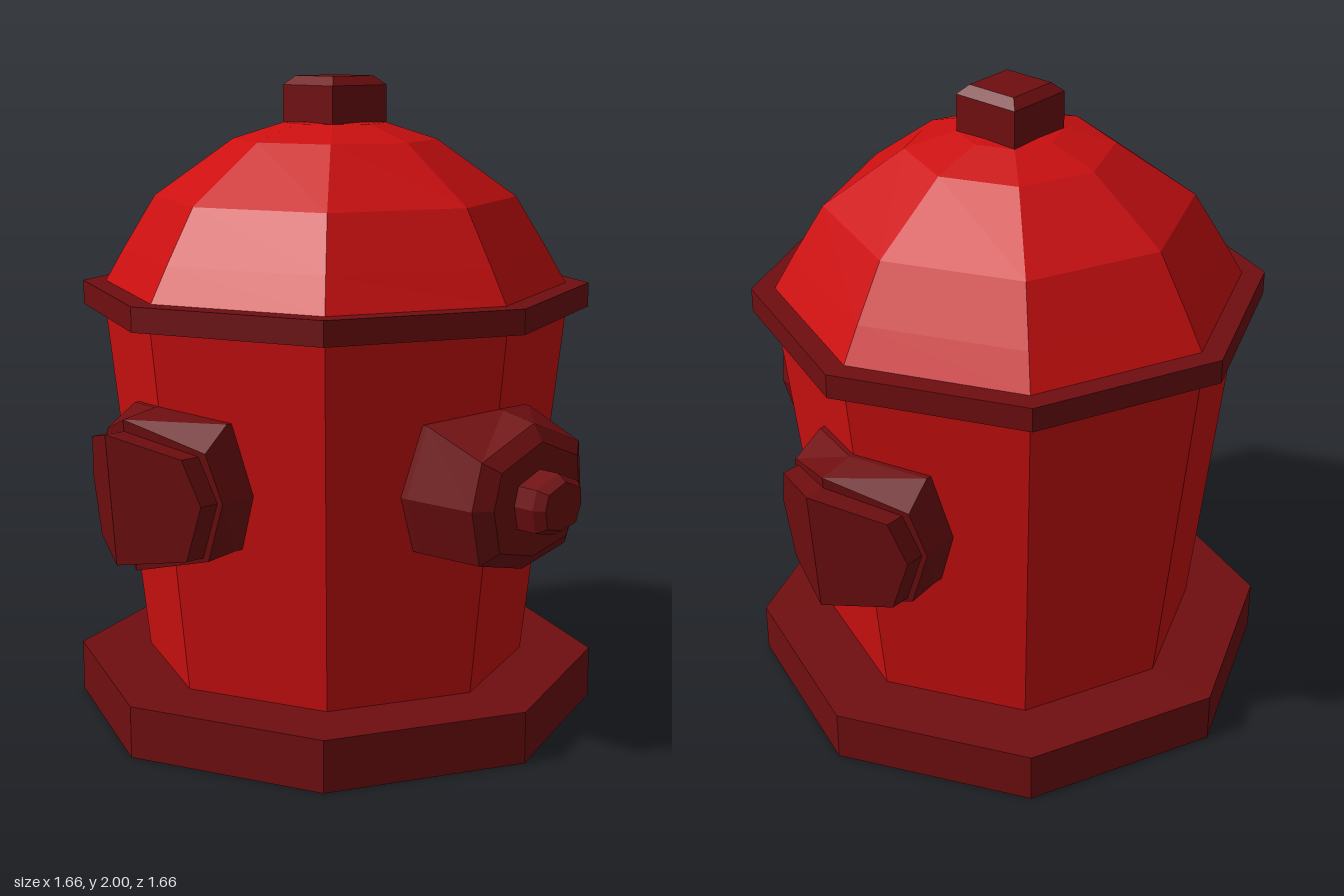
import * as THREE from 'three';

const red = new THREE.MeshStandardMaterial({ color: 0xcc0f10, flatShading: true });
red.name = 'bright red';
const dark = new THREE.MeshStandardMaterial({ color: 0x700e10, flatShading: true });
dark.name = 'dark red';

function add(parent, name, geometry, material, y = 0) {
  const mesh = new THREE.Mesh(geometry, material);
  mesh.name = name;
  mesh.position.y = y;
  parent.add(mesh);
  return mesh;
}

// Slab with a regular outline standing from y0 to y1
function slab(parent, name, rTop, rBottom, y0, y1, sides, material) {
  const g = new THREE.CylinderGeometry(rTop, rBottom, y1 - y0, sides);
  return add(parent, name, g, material, (y0 + y1) / 2);
}

// Half outlines of the eight-sided fittings: top, upper corner, side, lower corner, bottom
const wallOutline = [[0, 0.245], [0.22, 0.215], [0.265, 0], [0.215, -0.17], [0, -0.235]];
const rimOutline = [[0, 0.225], [0.235, 0.145], [0.275, 0], [0.22, -0.18], [0, -0.235]];
const capOutline = [[0, 0.19], [0.215, 0.135], [0.26, 0], [0.206, -0.17], [0, -0.205]];
const outletOutline = [[0, 0.225], [0.21, 0.14], [0.236, 0], [0.187, -0.17], [0, -0.215]];

// One cross-section: mirrored outline at a distance, folded back from the centre line by bend
function ring(outline, distance, bend, scale = 1) {
  const left = outline.map(([u, v]) => [-u, v]);
  const right = outline.slice(1, -1).reverse();
  return [...left, ...right].map(([u, v]) => new THREE.Vector3(
    u * scale, v * scale, distance + 0.08 * v * scale - bend * Math.abs(u * scale)));
}

// Skin the cross-sections and close the outer end
function loft(rings) {
  const pos = [];
  const tri = (...pts) => pts.forEach((p) => pos.push(p.x, p.y, p.z));
  const n = rings[0].length;
  for (let j = 0; j < n; j++) {
    const k = (j + 1) % n;
    for (let i = 0; i < rings.length - 1; i++) {
      const a = rings[i], b = rings[i + 1];
      tri(a[j], a[k], b[k]);
      tri(a[j], b[k], b[j]);
    }
    const end = rings[rings.length - 1];
    const centre = new THREE.Vector3().addVectors(end[0], end[4]).multiplyScalar(0.5);
    tri(centre, end[j], end[k]);
  }
  const g = new THREE.BufferGeometry();
  g.setAttribute('position', new THREE.Float32BufferAttribute(pos, 3));
  g.computeVertexNormals();
  return g;
}

function fitting(parent, name, angle) {
  const group = new THREE.Group();
  group.name = name;
  group.position.y = 0.81;
  group.rotation.y = angle;
  parent.add(group);
  return group;
}

export function createModel() {
  const model = new THREE.Group();
  model.name = 'fireHydrant';

  // Barrel, base and collar
  slab(model, 'base', 0.83, 0.83, 0, 0.16, 8, dark);
  slab(model, 'barrel', 0.73, 0.605, 0.16, 1.29, 8, red);
  slab(model, 'collar', 0.797, 0.797, 1.285, 1.36, 8, dark);

  // Domed bonnet
  const profile = [[0.725, 1.36], [0.665, 1.465], [0.565, 1.63], [0.317, 1.807], [0.16, 1.857], [0, 1.87]];
  add(model, 'bonnet',
    new THREE.LatheGeometry(profile.map(([x, y]) => new THREE.Vector2(x, y)), 8), red);

  // Square nut with a bevelled top
  slab(model, 'topNut', 0.16, 0.16, 1.83, 1.972, 4, dark);
  slab(model, 'topNutBevel', 0.12, 0.16, 1.972, 2, 4, dark);

  // Two folded side caps
  for (const [name, angle] of [['rightCap', -Math.PI / 4], ['backCap', Math.PI * 3 / 4]]) {
    const cap = fitting(model, name, angle);
    add(cap, 'capRim', loft([
      ring(wallOutline, 0.64, 0.41),
      ring(wallOutline, 0.70, 0.41),
      ring(rimOutline, 0.815, 0.45),
    ]), dark);
    add(cap, 'capCover', loft([
      ring(capOutline, 0.79, 0.46),
      ring(capOutline, 0.883, 0.48),
    ]), dark);
  }

  // Main outlet with a bevelled flat face and a small nut
  const outlet = fitting(model, 'mainOutlet', Math.PI / 4);
  add(outlet, 'outletBody', loft([
    ring(wallOutline, 0.64, 0.41),
    ring(wallOutline, 0.70, 0.41),
    ring(outletOutline, 0.82, 0),
    ring(outletOutline, 0.857, 0, 0.78),
  ]), dark);
  add(outlet, 'outletNut', loft([
    ring(outletOutline, 0.84, 0, 0.42),
    ring(outletOutline, 0.925, 0, 0.42),
    ring(outletOutline, 0.955, 0, 0.33),
  ]), dark);

  return model;
}
